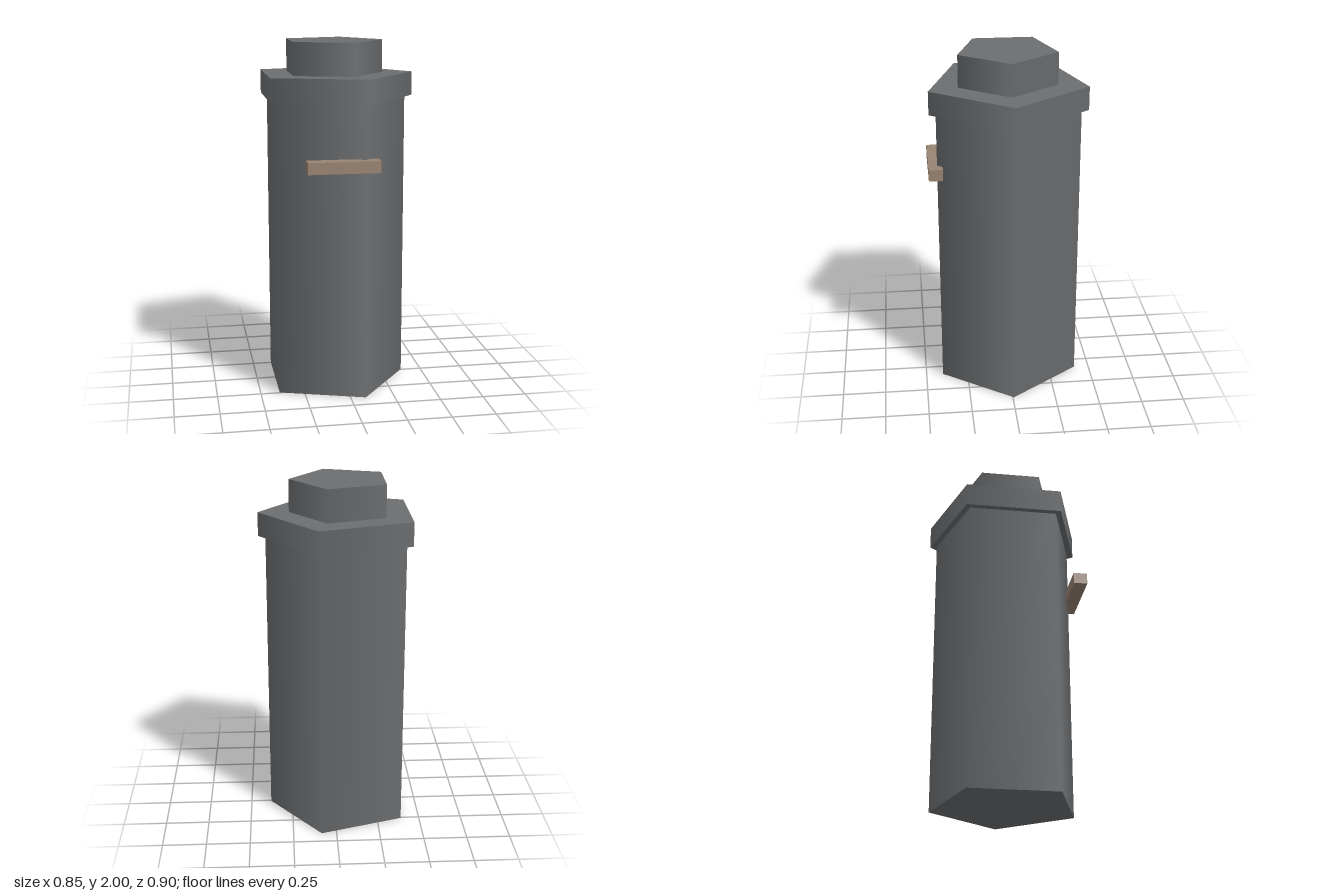
import * as THREE from 'three';

export function createModel() {
  const model = new THREE.Group();
  const stone = new THREE.MeshStandardMaterial({ color: 0x6c6e70 });
  const wood = new THREE.MeshStandardMaterial({ color: 0x9a8472 });

  // Upright five-sided prism with one corner pointing to +x
  function prism(name, radius, bottom, top) {
    const geometry = new THREE.CylinderGeometry(radius, radius, top - bottom, 5, 1, false, Math.PI / 2);
    const mesh = new THREE.Mesh(geometry, stone);
    mesh.name = name;
    mesh.position.set(-0.046, (bottom + top) / 2, -0.006);
    model.add(mesh);
  }

  prism('shaft', 0.427, 0, 1.68);
  prism('collar', 0.468, 1.68, 1.815);
  prism('cap', 0.293, 1.815, 2);

  // Flat bar set into the front corner
  const bar = new THREE.Mesh(new THREE.BoxGeometry(0.402, 0.066, 0.08), wood);
  bar.name = 'frontBar';
  bar.position.set(-0.046, 1.344, 0.41);
  model.add(bar);

  return model;
}
